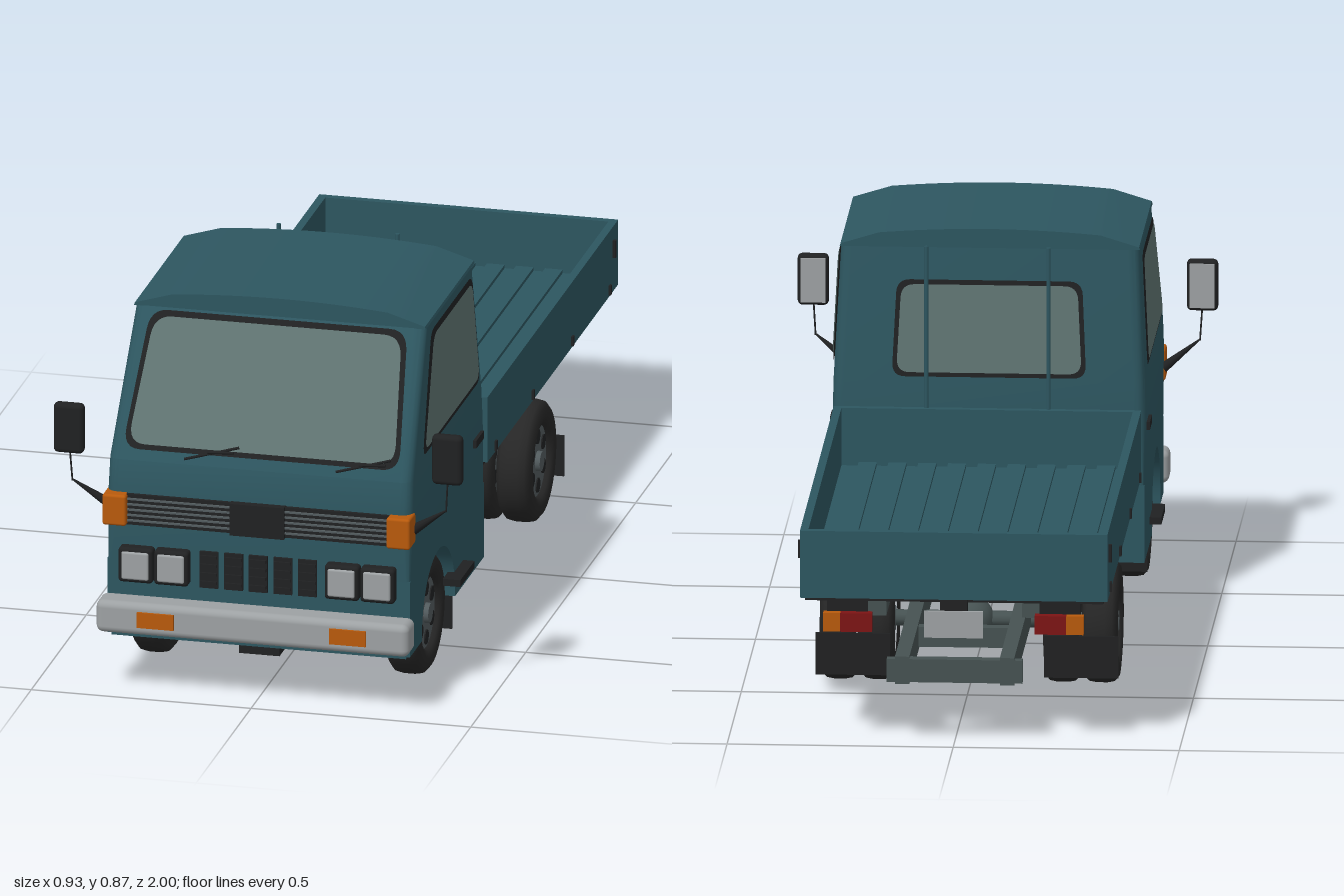
import * as THREE from 'three';
import { toCreasedNormals } from 'three/addons/utils/BufferGeometryUtils.js';
import { RoundedBoxGeometry } from 'three/addons/geometries/RoundedBoxGeometry.js';

const mat = (name, color, side = THREE.FrontSide) => {
  const m = new THREE.MeshStandardMaterial({ color, side });
  m.name = name;
  return m;
};

export function createModel() {
  const paint = mat('teal paint', 0x2d5660);
  const black = mat('black trim', 0x202122, THREE.DoubleSide);
  const rubber = mat('tyre rubber', 0x262626);
  const glass = mat('window glass', 0x5f7371, THREE.DoubleSide);
  const silver = mat('light grey', 0x9da1a3);
  const steel = mat('chassis grey', 0x465252);
  const rimGrey = mat('rim grey', 0x525b5e);
  const amber = mat('amber lens', 0xb85a0c);
  const red = mat('red lens', 0x7d1414);

  const truck = new THREE.Group();
  truck.name = 'flatbedTruck';
  const add = (name, geo, m, parent = truck) => {
    const mesh = new THREE.Mesh(geo, m);
    mesh.name = name;
    parent.add(mesh);
    return mesh;
  };
  // Box given by its minimum and maximum on each axis
  const box = (name, m, x0, x1, y0, y1, z0, z1, r = 0) => {
    const s = [x1 - x0, y1 - y0, z1 - z0];
    const g = r ? new RoundedBoxGeometry(...s, 3, r) : new THREE.BoxGeometry(...s);
    return add(name, g.translate((x0 + x1) / 2, (y0 + y1) / 2, (z0 + z1) / 2), m);
  };
  // The same box on both sides of the truck
  const pair = (name, m, x0, x1, ...rest) => {
    box(name, m, x0, x1, ...rest);
    box(name, m, -x1, -x0, ...rest);
  };
  const rod = (name, m, a, b, r0, r1 = r0) => {
    const p = new THREE.Vector3(...a), q = new THREE.Vector3(...b), d = q.clone().sub(p);
    const mesh = add(name, new THREE.CylinderGeometry(r1, r0, d.length(), 10), m);
    mesh.position.copy(p).add(q).multiplyScalar(0.5);
    mesh.quaternion.setFromUnitVectors(new THREE.Vector3(0, 1, 0), d.normalize());
  };
  // Side outline in (z, y), extruded across x
  const extrudeX = (name, shape, x0, x1, m) => {
    const g = new THREE.ExtrudeGeometry(shape, { depth: x1 - x0, bevelEnabled: false, curveSegments: 24 });
    g.translate(0, 0, -x1).rotateY(-Math.PI / 2);
    add(name, toCreasedNormals(g, 0.5), m);
  };

  // Cab lower sides with wheel arches, and the raised floor between them
  const skirt = new THREE.Shape();
  skirt.moveTo(0.257, 0.3).lineTo(0.257, 0.125).lineTo(0.52, 0.125);
  skirt.absarc(0.67, 0.137, 0.15, Math.PI, 0, true);
  skirt.lineTo(0.82, 0.125).lineTo(0.93, 0.125).lineTo(0.93, 0.3).closePath();
  extrudeX('cabLowerSide', skirt, 0.23, 0.344, paint);
  extrudeX('cabLowerSide', skirt, -0.344, -0.23, paint);
  box('cabFloor', paint, -0.235, 0.235, 0.2, 0.305, 0.257, 0.93);
  box('frontValance', paint, -0.335, 0.335, 0.12, 0.21, 0.86, 0.93);
  box('cabRearLip', paint, -0.235, 0.235, 0.125, 0.21, 0.257, 0.275);

  // Cab upper body lofted through rounded rectangles: y, half width, front z, back z, corner radius
  const rings = [[0.3, 0.344, 0.93, 0.257, 0.01], [0.45, 0.347, 0.932, 0.257, 0.025],
    [0.53, 0.345, 0.922, 0.262, 0.025], [0.83, 0.33, 0.735, 0.294, 0.025]];
  const pos = [], idx = [], seg = 5, n = 4 * (seg + 1);
  for (const [y, w, zf, zb, r] of rings)
    for (let c = 0; c < 4; c++)
      for (let k = 0; k <= seg; k++) {
        const t = (c + k / seg) * Math.PI / 2;
        const cx = (c === 0 || c === 3 ? 1 : -1) * (w - r);
        pos.push(cx + r * Math.cos(t), y, (c < 2 ? zf - r : zb + r) + r * Math.sin(t));
      }
  for (let i = 0; i < rings.length - 1; i++)
    for (let j = 0; j < n; j++) {
      const a = i * n + j, b = i * n + (j + 1) % n;
      idx.push(a, a + n, b, b, a + n, b + n);
    }
  const shell = new THREE.BufferGeometry();
  shell.setAttribute('position', new THREE.Float32BufferAttribute(pos, 3));
  shell.setIndex(idx);
  add('cabBody', toCreasedNormals(shell, 0.45), paint);

  // Arched roof
  const arch = new THREE.Shape();
  arch.moveTo(-0.332, 0.826).lineTo(0.332, 0.826).lineTo(0.33, 0.832);
  arch.lineTo(0.245, 0.858).quadraticCurveTo(0.12, 0.869, 0, 0.869);
  arch.quadraticCurveTo(-0.12, 0.869, -0.245, 0.858).lineTo(-0.33, 0.832).closePath();
  const roof = new THREE.ExtrudeGeometry(arch, { depth: 0.445, bevelEnabled: false });
  add('roof', toCreasedNormals(roof.translate(0, 0, 0.292), 0.5), paint);

  // Windows: rounded outlines laid on the sloping cab faces, black seal under glass
  const roundedShape = (pts, r) => {
    const s = new THREE.Shape();
    pts.forEach((p, i) => {
      const v = new THREE.Vector2(...p);
      const toward = q => v.clone().add(new THREE.Vector2(...q).sub(v).setLength(r));
      const a = toward(pts[(i + pts.length - 1) % pts.length]), b = toward(pts[(i + 1) % pts.length]);
      if (i) s.lineTo(a.x, a.y); else s.moveTo(a.x, a.y);
      s.quadraticCurveTo(v.x, v.y, b.x, b.y);
    });
    s.closePath();
    return s;
  };
  const windowPane = (name, pts, r, inset, place) => {
    const cx = pts.reduce((s, p) => s + p[0], 0) / pts.length;
    const cy = pts.reduce((s, p) => s + p[1], 0) / pts.length;
    const inner = pts.map(([a, b]) => [a - Math.sign(a - cx) * inset, b - Math.sign(b - cy) * inset]);
    [[pts, black, 0.004, 'Seal'], [inner, glass, 0.007, 'Glass']].forEach(([p, m, off, suffix]) => {
      const g = new THREE.ShapeGeometry(roundedShape(p, r), 6), q = g.attributes.position;
      for (let i = 0; i < q.count; i++) q.setXYZ(i, ...place(q.getX(i), q.getY(i), off));
      g.computeVertexNormals();
      add(name + suffix, g, m);
    });
  };
  const screenZ = (y, off) => 0.922 - (y - 0.53) * 0.623 + off;
  windowPane('windscreen', [[-0.315, 0.553], [0.315, 0.553], [0.292, 0.823], [-0.292, 0.823]], 0.04, 0.011,
    (x, y, o) => [x, y, screenZ(y, o)]);
  windowPane('rearWindow', [[-0.215, 0.54], [0.215, 0.54], [0.205, 0.755], [-0.205, 0.755]], 0.03, 0.01,
    (x, y, o) => [x, y, 0.262 + (y - 0.53) * 0.107 - o]);
  for (const s of [1, -1])
    windowPane('sideWindow', [[0.825, 0.558], [0.7, 0.81], [0.328, 0.81], [0.308, 0.558]], 0.03, 0.012,
      (z, y, o) => [s * (0.345 - (y - 0.53) * 0.05 + o), y, z]);

  // Wipers
  for (const x of [-0.17, 0.175]) {
    rod('wiperBlade', black, [x, 0.545, screenZ(0.545, 0.015)], [x + 0.12, 0.575, screenZ(0.575, 0.015)], 0.003);
    rod('wiperArm', black, [x + 0.11, 0.565, screenZ(0.565, 0.018)], [x + 0.05, 0.562, screenZ(0.562, 0.018)], 0.003);
  }

  // Grille with slats, vents, headlights and markers
  box('grillePanel', black, -0.3, 0.3, 0.385, 0.456, 0.92, 0.94);
  box('grilleCentre', black, -0.062, 0.062, 0.383, 0.457, 0.92, 0.95);
  for (let i = 0; i < 5; i++)
    pair('grilleSlat', rimGrey, 0.062, 0.297, 0.394 + i * 0.0125, 0.398 + i * 0.0125, 0.935, 0.945);
  for (let i = -2; i <= 2; i++) {
    box('frontVent', black, i * 0.056 - 0.021, i * 0.056 + 0.021, 0.25, 0.335, 0.92, 0.937);
    for (let k = 0; k < 4; k++)
      box('ventLouvre', black, i * 0.056 - 0.019, i * 0.056 + 0.019, 0.26 + k * 0.02, 0.267 + k * 0.02, 0.93, 0.942);
  }
  for (const x of [0.194, 0.275]) {
    pair('headlightFrame', black, x - 0.039, x + 0.039, 0.254, 0.335, 0.92, 0.956, 0.008);
    pair('headlightLens', silver, x - 0.031, x + 0.031, 0.262, 0.327, 0.94, 0.96, 0.005);
  }
  pair('cornerMarker', amber, 0.296, 0.35, 0.385, 0.457, 0.9, 0.957, 0.006);

  // Front bumper
  box('frontBumper', silver, -0.356, 0.356, 0.145, 0.22, 0.925, 0.995, 0.016);
  pair('bumperLamp', amber, 0.177, 0.26, 0.166, 0.202, 0.98, 1);
  box('towPlate', black, -0.046, 0.046, 0.1, 0.125, 0.88, 0.925);

  // Mirrors, door handles, steps
  for (const s of [1, -1]) {
    rod('mirrorArm', black, [s * 0.345, 0.415, 0.9], [s * 0.425, 0.475, 0.925], 0.012, 0.002);
    rod('mirrorStem', black, [s * 0.425, 0.472, 0.925], [s * 0.43, 0.55, 0.93], 0.002);
  }
  pair('mirrorHousing', black, 0.396, 0.465, 0.54, 0.656, 0.918, 0.945, 0.011);
  pair('mirrorFace', silver, 0.403, 0.458, 0.548, 0.648, 0.914, 0.919);
  pair('doorHandle', black, 0.342, 0.354, 0.418, 0.436, 0.295, 0.365);
  pair('step', black, 0.33, 0.37, 0.168, 0.184, 0.445, 0.575);

  // Wheels: lathed tyre, dished rim with openings and hub
  const tyre = new THREE.LatheGeometry([[0.084, -0.034], [0.1, -0.04], [0.122, -0.038], [0.134, -0.028], [0.137, -0.012],
    [0.137, 0.012], [0.134, 0.028], [0.122, 0.038], [0.1, 0.04], [0.084, 0.034], [0.08, 0.02]]
    .map(p => new THREE.Vector2(...p)), 36);
  const wheel = (x, z) => {
    const g = new THREE.Group();
    g.name = 'wheel';
    add('tyre', tyre, rubber, g);
    add('rim', new THREE.CylinderGeometry(0.085, 0.085, 0.05, 32), rimGrey, g);
    add('hub', new THREE.CylinderGeometry(0.022, 0.028, 0.072, 16), rimGrey, g);
    for (let i = 0; i < 6; i++) {
      const a = i * Math.PI / 3;
      const hole = add('rimOpening', new THREE.CylinderGeometry(0.017, 0.017, 0.056, 12), black, g);
      hole.position.set(Math.cos(a) * 0.057, 0, Math.sin(a) * 0.057);
    }
    g.rotation.z = x > 0 ? -Math.PI / 2 : Math.PI / 2;
    g.position.set(x, 0.137, z);
    truck.add(g);
  };
  for (const s of [1, -1]) {
    wheel(s * 0.29, 0.67);
    wheel(s * 0.29, -0.345);
    wheel(s * 0.204, -0.345);
  }
  for (const z of [0.67, -0.345]) rod('axle', steel, [-0.28, 0.137, z], [0.28, 0.137, z], 0.018);
  add('differential', new THREE.SphereGeometry(0.05, 20, 14), steel).position.set(0, 0.137, -0.345);
  rod('driveShaft', steel, [0, 0.15, 0.5], [0, 0.14, -0.33], 0.014);
  rod('gearbox', steel, [0, 0.16, 0.62], [0, 0.16, 0.28], 0.05, 0.03);
  pair('frontMudflap', black, 0.25, 0.335, 0.045, 0.135, 0.508, 0.513);
  pair('rearMudflap', black, 0.17, 0.335, 0.045, 0.14, -0.513, -0.508);

  // Chassis rails, cross members, battery box and tank
  pair('chassisRail', steel, 0.1, 0.132, 0.13, 0.192, -0.95, 0.87);
  for (const z of [-0.93, -0.62, -0.1, 0.22]) box('crossMember', steel, -0.11, 0.11, 0.14, 0.185, z - 0.015, z + 0.015);
  box('rearCrossbar', steel, -0.15, 0.15, 0.135, 0.187, -0.952, -0.93);
  box('batteryBox', black, 0.14, 0.27, 0.155, 0.243, 0.05, 0.176);
  box('fuelTank', steel, -0.28, -0.14, 0.135, 0.235, -0.05, 0.17, 0.02);

  // Load bed: subframe, floor with ribs, four low walls
  pair('bedSubframe', steel, 0.15, 0.19, 0.288, 0.328, -0.965, 0.2);
  box('bedUnderside', black, -0.33, 0.33, 0.322, 0.336, -0.97, 0.205);
  box('bedFloor', paint, -0.33, 0.33, 0.336, 0.352, -0.97, 0.205);
  for (let i = 0; i < 9; i++) {
    const x = (i - 4) * 0.066;
    box('floorRib', paint, x - 0.02, x + 0.02, 0.35, 0.36, -0.965, 0.195);
  }
  pair('bedSideWall', paint, 0.322, 0.34, 0.33, 0.482, -0.975, 0.21);
  box('bedHeadboard', paint, -0.33, 0.33, 0.33, 0.482, 0.193, 0.211);
  box('bedTailgate', paint, -0.34, 0.34, 0.33, 0.482, -0.982, -0.964);
  for (const z of [0.14, -0.2, -0.56, -0.9]) pair('wallHinge', black, 0.335, 0.345, 0.335, 0.357, z - 0.006, z + 0.006);
  pair('tailgateLatch', black, 0.335, 0.347, 0.41, 0.45, -0.94, -0.93);
  for (const x of [-0.135, 0.135]) rod('headboardPost', paint, [x, 0.34, 0.208], [x, 0.848, 0.208], 0.005);

  // Tail lamps and blank plate
  pair('tailLampRed', red, 0.18, 0.25, 0.258, 0.3, -0.998, -0.975);
  pair('tailLampAmber', amber, 0.25, 0.288, 0.258, 0.3, -0.998, -0.975);
  pair('tailLampBracket', black, 0.19, 0.28, 0.29, 0.33, -0.977, -0.96);
  box('rearPlate', silver, -0.065, 0.065, 0.245, 0.305, -0.988, -0.98);
  box('plateBracket', black, -0.03, 0.03, 0.29, 0.33, -0.981, -0.96);

  return truck;
}
